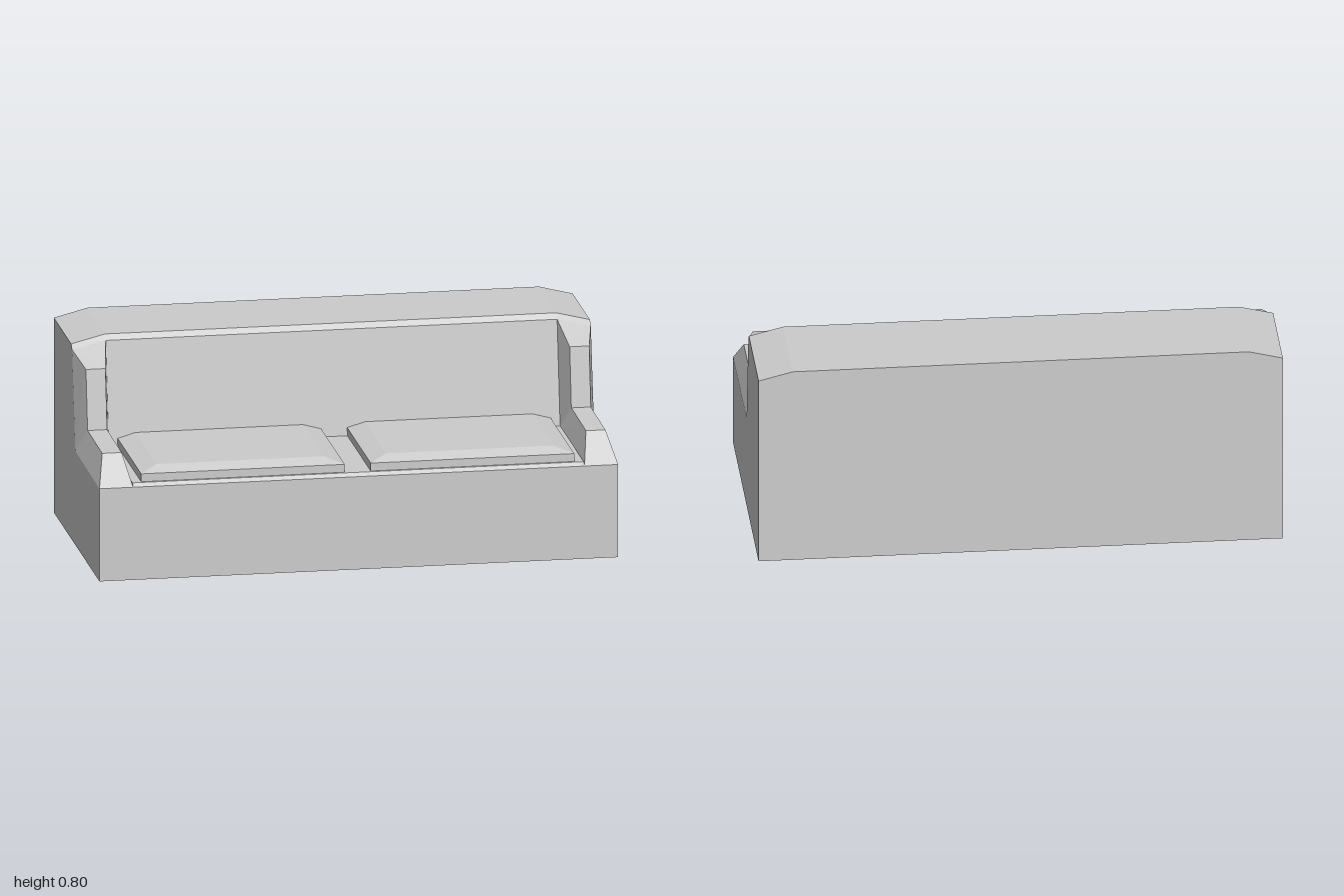
import * as THREE from 'three';

const material = new THREE.MeshStandardMaterial({ color: 0xcccccc, flatShading: true });

// Flat faces from polygons given for the +x half; each one is mirrored to -x.
function mirroredMesh(name, polygons) {
  const pos = [];
  for (const side of [1, -1]) {
    for (const poly of polygons) {
      for (let i = 1; i < poly.length - 1; i++) {
        const tri = side > 0 ? [poly[0], poly[i], poly[i + 1]] : [poly[0], poly[i + 1], poly[i]];
        for (const [x, y, z] of tri) pos.push(side * x, y, z);
      }
    }
  }
  const geometry = new THREE.BufferGeometry();
  geometry.setAttribute('position', new THREE.Float32BufferAttribute(pos, 3));
  geometry.computeVertexNormals();
  const mesh = new THREE.Mesh(geometry, material);
  mesh.name = name;
  return mesh;
}

export function createModel() {
  const sofa = new THREE.Group();
  sofa.name = 'sofa';

  // Outer (o) and inner (i) edges of the arm, from front to back
  const o0 = [1, 0.365, 0.5], i0 = [0.87, 0.365, 0.5];
  const oc = [1, 0.37, -0.03], ic = [0.87, 0.378, -0.035];
  const o4 = [1, 0.75, -0.1], i4 = [0.87, 0.78, -0.1];
  const o5 = [1, 0.767, -0.12], i5 = [0.87, 0.8, -0.12];
  const o6 = [1, 0.767, -0.5], i6 = [0.87, 0.8, -0.5];
  const lip = [0.87, 0.378, 0.485];
  // Raised arm ridge: outer (p) and inner (q) corners
  const ridge = [[0.473, 0.39], [0.476, 0.07], [0.707, 0.035]];
  const [p1, p2, p3] = ridge.map(([y, z]) => [0.97, y, z]);
  const [q1, q2, q3] = ridge.map(([y, z]) => [0.895, y, z]);
  // Same point moved to the centre line
  const mid = ([, y, z]) => [0, y, z];
  const b0 = [1, 0, 0.5], b1 = [1, 0, -0.5];

  // Solid base with its front, underside, ends and back
  sofa.add(mirroredMesh('base', [
    [mid(b0), b0, o0, i0, mid(i0)],
    [mid(b1), b1, b0, mid(b0)],
    [oc, o0, b0, b1, o6, o5, o4],
    [b1, mid(b1), mid(i6), i6, o6],
  ]));

  // Seat panel with a bevelled front edge
  sofa.add(mirroredMesh('seat', [
    [mid(i0), i0, lip, mid(lip)],
    [mid(lip), lip, ic, mid(ic)],
  ]));

  // Stepped arms with bevels on both sides
  sofa.add(mirroredMesh('arms', [
    [i0, o0, p1, q1],
    [q1, p1, p2, q2],
    [q2, p2, p3, q3],
    [q3, p3, o4, i4],
    [o0, oc, p2, p1],
    [oc, o4, p3, p2],
    [ic, lip, i0, q1, q2],
    [ic, q2, q3, i4],
  ]));

  // Backrest: leaning front, bevelled edge and broad top
  sofa.add(mirroredMesh('backrest', [
    [mid(ic), ic, i4, mid(i4)],
    [mid(i4), i4, i5, mid(i5)],
    [i4, o4, o5, i5],
    [mid(i5), i5, i6, mid(i6)],
    [i5, o5, o6, i6],
  ]));

  // Two cushions: rectangular rings joined upwards, bevelled on top
  const ring = (x0, x1, z0, z1, y) => [[x0, y, z1], [x1, y, z1], [x1, y, z0], [x0, y, z0]];
  const rings = [
    ring(0.05, 0.835, -0.042, 0.475, 0.37),
    ring(0.05, 0.835, -0.042, 0.475, 0.409),
    ring(0.12, 0.765, -0.045, 0.415, 0.428),
  ];
  const cushionFaces = [rings[2]];
  for (let r = 0; r < 2; r++) {
    for (let k = 0; k < 4; k++) {
      const n = (k + 1) % 4;
      cushionFaces.push([rings[r][k], rings[r][n], rings[r + 1][n], rings[r + 1][k]]);
    }
  }
  sofa.add(mirroredMesh('seatCushions', cushionFaces));

  return sofa;
}
